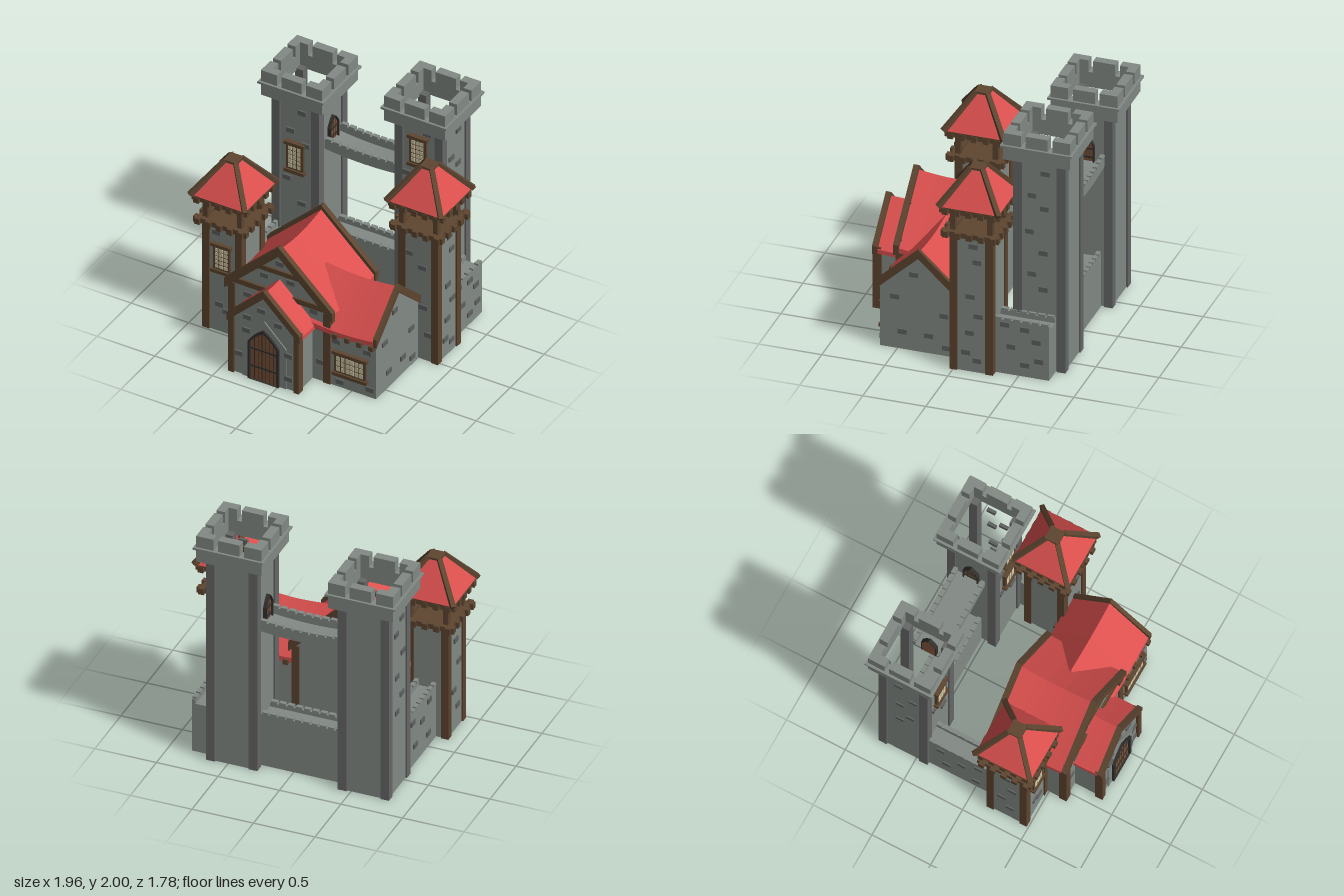
import * as THREE from 'three';

const paint = (c) => new THREE.MeshStandardMaterial({ color: c, flatShading: true });
const stone = paint(0x838a85), pillar = paint(0x666867), brick = paint(0x5f6261), red = paint(0xdb504e),
  wood = paint(0x5e4530), plank = paint(0x7d5236), iron = paint(0x33312e), glass = paint(0xd0c9a6);

function add(parent, name, geo, mat, x = 0, y = 0, z = 0) {
  const m = new THREE.Mesh(geo, mat);
  m.name = name;
  m.position.set(x, y, z);
  parent.add(m);
  return m;
}
// Box standing on y0 and reaching y1
const box = (p, name, mat, w, d, x, y0, y1, z) =>
  add(p, name, new THREE.BoxGeometry(w, y1 - y0, d), mat, x, (y0 + y1) / 2, z);

function group(parent, name, x = 0, y = 0, z = 0, turn = 0) {
  const g = new THREE.Group();
  g.name = name;
  g.position.set(x, y, z);
  g.rotation.y = turn;
  parent.add(g);
  return g;
}
const poly = (pts) => new THREE.Shape(pts.map(([x, y]) => new THREE.Vector2(x, y)));
const extrude = (shape, depth, steps = 1) =>
  new THREE.ExtrudeGeometry(shape, { depth, steps, bevelEnabled: false, curveSegments: 5 });
const square = (r) => poly([[-r, -r], [r, -r], [r, r], [-r, r]]);

// Square beam between two points
function beam(p, name, mat, a, b, t) {
  const va = new THREE.Vector3(...a), vb = new THREE.Vector3(...b);
  const m = add(p, name, new THREE.BoxGeometry(t, t, va.distanceTo(vb)), mat);
  m.position.copy(va).add(vb).multiplyScalar(0.5);
  const o = new THREE.Object3D();
  o.position.copy(m.position);
  o.lookAt(vb);
  m.quaternion.copy(o.quaternion);
}

// Raised stones on a wall facing z or x
function bricks(p, axis, plane, list) {
  for (const [u, v] of list) {
    if (axis === 'z') box(p, 'raisedStone', brick, 0.07, 0.025, u, v - 0.02, v + 0.02, plane);
    else box(p, 'raisedStone', brick, 0.025, 0.07, plane, v - 0.02, v + 0.02, u);
  }
}

function windowFrame(p, x, y, z, w, h, cols, rows) {
  const g = group(p, 'window', x, y, z);
  box(g, 'windowFrame', wood, w, 0.03, 0, -h / 2, h / 2, 0);
  for (const s of [-1, 1]) box(g, 'windowSill', wood, w + 0.03, 0.05, 0, s * h / 2 - 0.014, s * h / 2 + 0.014, 0.005);
  const pw = (w - 0.03) / cols, ph = (h - 0.05) / rows;
  for (let i = 0; i < cols; i++) for (let j = 0; j < rows; j++) {
    const py = (j - (rows - 1) / 2) * ph;
    box(g, 'pane', glass, pw - 0.008, 0.01, (i - (cols - 1) / 2) * pw, py - ph / 2 + 0.004, py + ph / 2 - 0.004, 0.013);
  }
}

// Pointed arch outline
function arch(r, spring, peak) {
  const s = new THREE.Shape(), m = (spring + peak) / 2 + 0.012;
  s.moveTo(-r, 0);
  s.lineTo(r, 0);
  s.lineTo(r, spring);
  s.quadraticCurveTo(r * 0.6, m, 0, peak);
  s.quadraticCurveTo(-r * 0.6, m, -r, spring);
  return s;
}
function door(p, x, y, z, turn, r, spring, peak, planks) {
  const g = group(p, 'door', x, y, z, turn), t = r * 0.15;
  const frame = arch(r, spring, peak);
  frame.holes.push(arch(r - t, spring, peak - t * 1.4));
  add(g, 'doorFrame', extrude(frame, 0.03), iron);
  add(g, 'doorLeaf', extrude(arch(r - t, spring, peak - t * 1.4), 0.012), plank);
  for (let i = 1; i < planks; i++) {
    const px = (i / planks * 2 - 1) * (r - t);
    box(g, 'plankGap', iron, 0.005, 0.004, px, 0, spring + (peak - spring) * (1 - Math.abs(px) / r) * 0.9, 0.012);
  }
  for (const k of [0.35, 0.82]) box(g, 'doorStrap', iron, (r - t) * 2, 0.008, 0, k * spring - 0.007, k * spring + 0.007, 0.014);
}

// Gabled slab running along z; the ridge sags in the middle
function gable(p, name, mat, r, ridge, eave, t, z0, z1, sag = 0) {
  const geo = extrude(poly([[-r, eave - t], [0, ridge - t], [r, eave - t], [r, eave], [0, ridge], [-r, eave]]), z1 - z0, sag ? 8 : 1);
  const pos = geo.attributes.position;
  for (let i = 0; i < pos.count; i++) pos.setY(i, pos.getY(i) - sag * Math.sin(Math.PI * pos.getZ(i) / (z1 - z0)));
  geo.computeVertexNormals();
  add(p, name, geo, mat, 0, 0, z0);
}
const house = (p, name, r, ridge, eave, z0, z1) =>
  add(p, name, extrude(poly([[-r, 0], [r, 0], [r, eave], [0, ridge], [-r, eave]]), z1 - z0), stone, 0, 0, z0);

// Hollow stone tower with a battlement crown
function stoneTower(p, x, z, h) {
  const g = group(p, 'stoneTower', x, 0, z), base = h - 0.225, ledge = h - 0.11;
  const shaft = new THREE.BoxGeometry(0.39, base, 0.39);
  shaft.setIndex([...shaft.index.array].filter((_, i) => i < 12 || i >= 18));
  add(g, 'towerShaft', shaft, stone, 0, base / 2, 0);
  for (const sx of [-1, 1]) for (const sz of [-1, 1])
    box(g, 'cornerPillar', pillar, 0.07, 0.07, sx * 0.173, 0, base + 0.02, sz * 0.173);
  for (const [name, r, y0, y1] of [['crown', 0.265, base, ledge], ['crownLedge', 0.285, ledge - 0.005, ledge + 0.012]]) {
    const s = square(r);
    s.holes.push(square(0.195));
    add(g, name, extrude(s, y1 - y0).rotateX(-Math.PI / 2), stone, 0, y0, 0);
  }
  for (let i = 0; i < 4; i++) {
    const side = group(g, 'merlons', 0, 0, 0, i * Math.PI / 2);
    box(side, 'merlon', stone, 0.175, 0.07, 0, ledge, h, 0.23);
    box(side, 'cornerMerlon', stone, 0.14, 0.07, -0.195, ledge, h, 0.23);
    box(side, 'cornerMerlon', stone, 0.07, 0.07, -0.23, ledge, h, 0.16);
  }
}

// Timber-framed turret with an open lookout and a hipped roof
function turret(p, x, z, deck) {
  const g = group(p, 'timberTurret', x, 0, z), top = deck + 0.2;
  box(g, 'turretShaft', stone, 0.32, 0.32, 0, 0, deck, 0);
  for (const sx of [-1, 1]) for (const sz of [-1, 1]) {
    box(g, 'cornerPost', wood, 0.06, 0.06, sx * 0.142, 0, deck, sz * 0.142);
    box(g, 'lookoutPost', wood, 0.042, 0.042, sx * 0.148, deck, top, sz * 0.148);
    beam(g, 'hipBeam', wood, [sx * 0.24, top + 0.055, sz * 0.24], [sx * 0.045, top + 0.32, sz * 0.045], 0.038);
  }
  for (const [y, r] of [[deck, 0.205], [top, 0.215]]) for (let i = 0; i < 4; i++) {
    const side = group(g, 'ringBeam', 0, y, 0, i * Math.PI / 2);
    box(side, 'beam', wood, r * 2, 0.06, 0, 0, 0.042, r - 0.03);
    for (let j = -2; j <= 2; j++) box(side, 'joistEnd', wood, 0.045, 0.04, j * 0.094, -0.004, 0.046, r + 0.005);
  }
  box(g, 'lookoutFloor', wood, 0.36, 0.36, 0, deck, deck + 0.02, 0);
  box(g, 'eaves', wood, 0.47, 0.47, 0, top + 0.042, top + 0.055, 0);
  const k = Math.SQRT2;
  add(g, 'turretRoof', new THREE.CylinderGeometry(0.05 * k, 0.235 * k, 0.27, 4).rotateY(Math.PI / 4), red, 0, top + 0.19, 0);
  box(g, 'roofCap', wood, 0.115, 0.115, 0, top + 0.31, top + 0.332, 0);
}

// Walkway with toothed parapets, running along x; its ends may rise
function rampart(p, name, x, z, turn, len, r, y0, floor, top, rise = 0) {
  const g = group(p, name, x, 0, z, turn), lift = (u) => rise * (2 * u / len) ** 2;
  const bent = (part, w, a, b, pz) => {
    const geo = new THREE.BoxGeometry(len, b - a, w, rise ? 10 : 1), pos = geo.attributes.position;
    for (let i = 0; i < pos.count; i++) pos.setY(i, pos.getY(i) + lift(pos.getX(i)));
    add(g, part, geo, stone, 0, (a + b) / 2, pz);
  };
  bent('walkway', r * 2, y0, floor, 0);
  const n = Math.round(len / 0.07), step = len / n;
  for (const s of [-1, 1]) {
    bent('parapet', 0.03, floor, top - 0.018, s * (r - 0.015));
    for (let i = 0; i < n; i++) {
      const u = (i + 0.5) * step - len / 2;
      box(g, 'parapetTooth', stone, step * 0.76, 0.034, u, top - 0.022 + lift(u), top + lift(u), s * (r - 0.015));
    }
  }
}

export function createModel() {
  const root = new THREE.Group();
  root.name = 'castle';

  // Rear stone towers with windows and bridge doors
  stoneTower(root, -0.605, -0.61, 1.85);
  stoneTower(root, 0.465, -0.61, 2.0);
  for (const [x, y] of [[-0.605, 1.11], [0.465, 1.11], [0.465, 1.55]]) windowFrame(root, x, y, -0.405, 0.145, 0.25, 3, 5);
  door(root, -0.41, 1.21, -0.61, Math.PI / 2, 0.065, 0.15, 0.24, 4);
  door(root, 0.27, 1.21, -0.61, -Math.PI / 2, 0.065, 0.15, 0.24, 4);
  bricks(root, 'z', -0.412, [[-0.55, 1.53], [-0.65, 1.34], [-0.52, 1.24], [-0.68, 0.9], [-0.55, 0.7],
    [0.54, 1.73], [0.36, 1.32], [0.37, 0.92], [0.57, 1.3], [0.53, 0.75]]);
  const towerSide = [[-0.55, 1.47], [-0.65, 1.37], [-0.53, 1.16], [-0.64, 0.99], [-0.55, 0.8], [-0.64, 0.68]];
  bricks(root, 'x', 0.658, [[-0.655, 1.67], ...towerSide]);
  bricks(root, 'x', -0.798, towerSide);

  // Bridge and curtain walls
  rampart(root, 'bridge', -0.07, -0.625, 0, 0.67, 0.13, 1.185, 1.21, 1.285, 0.02);
  rampart(root, 'backWall', -0.07, -0.625, 0, 0.67, 0.1, 0, 0.42, 0.47);
  rampart(root, 'rightWall', 0.735, -0.52, Math.PI / 2, 0.44, 0.085, 0, 0.42, 0.475);
  rampart(root, 'leftWall', -0.7, -0.13, Math.PI / 2, 0.6, 0.085, 0, 0.42, 0.475);
  bricks(root, 'x', 0.818, [[-0.39, 0.42], [-0.55, 0.4], [-0.64, 0.31], [-0.44, 0.24], [-0.55, 0.1], [-0.66, 0.15]]);
  bricks(root, 'x', -0.783, [[-0.3, 0.38], [-0.12, 0.3], [0.02, 0.4], [-0.25, 0.16], [0.0, 0.12]]);

  // Timber turrets
  turret(root, -0.718, 0.315, 0.97);
  turret(root, 0.715, -0.145, 1.15);
  windowFrame(root, -0.72, 0.68, 0.48, 0.145, 0.235, 3, 5);
  bricks(root, 'z', 0.473, [[-0.77, 0.9], [-0.66, 0.46], [-0.745, 0.25], [-0.68, 0.2]]);
  bricks(root, 'z', 0.013, [[0.63, 0.94], [0.75, 0.84], [0.755, 0.48], [0.8, 0.24]]);
  bricks(root, 'x', 0.873, [[-0.16, 1.07], [-0.19, 0.94], [-0.135, 0.64], [-0.2, 0.48], [-0.13, 0.33], [-0.19, 0.1], [-0.1, 0.16]]);
  bricks(root, 'x', -0.876, [[0.31, 0.79], [0.36, 0.58], [0.27, 0.36], [0.34, 0.2]]);

  // Main hall
  const hall = group(root, 'hall', -0.125);
  house(hall, 'hallWalls', 0.435, 1.03, 0.62, 0, 0.637);
  gable(hall, 'hallRoof', red, 0.46, 1.07, 0.635, 0.04, 0.01, 0.64, 0.03);
  gable(hall, 'frontRake', wood, 0.47, 1.105, 0.66, 0.085, 0.62, 0.665);
  gable(hall, 'backRake', wood, 0.47, 1.105, 0.66, 0.085, -0.015, 0.03);
  for (const s of [-1, 1]) for (const z of [0.02, 0.62]) box(hall, 'hallPost', wood, 0.06, 0.065, s * 0.415, 0, 0.63, z);
  box(hall, 'crossBeam', wood, 0.84, 0.04, 0, 0.64, 0.685, 0.635);
  box(hall, 'collarBeam', wood, 0.4, 0.04, 0, 0.845, 0.885, 0.635);
  bricks(root, 'z', 0.634, [[-0.125, 0.94], [-0.26, 0.79], [-0.03, 0.8], [0.17, 0.61], [0.22, 0.48], [0.23, 0.17], [-0.47, 0.31], [-0.4, 0.56]]);

  // Entrance porch
  const porch = group(root, 'porch', -0.125);
  house(porch, 'porchWalls', 0.285, 0.79, 0.51, 0.6, 0.862);
  gable(porch, 'porchRoof', red, 0.31, 0.805, 0.505, 0.035, 0.5, 0.85, 0.008);
  gable(porch, 'porchRake', wood, 0.317, 0.835, 0.53, 0.07, 0.842, 0.885);
  for (const s of [-1, 1]) box(porch, 'porchPost', wood, 0.045, 0.065, s * 0.283, 0, 0.52, 0.85);
  const surround = poly([[-0.19, 0], [0.19, 0], [0.19, 0.36], [0, 0.55], [-0.19, 0.36]]);
  surround.holes.push(arch(0.133, 0.34, 0.473));
  add(porch, 'doorSurround', extrude(surround, 0.012), stone, 0, 0, 0.86);
  door(porch, 0, 0, 0.86, 0, 0.135, 0.34, 0.475, 7);
  bricks(root, 'z', 0.864, [[-0.15, 0.64], [-0.27, 0.54], [0.0, 0.555], [-0.28, 0.42], [-0.345, 0.185], [0.085, 0.31], [0.085, 0.1]]);

  // Side wing, its ridge running along x
  const wing = group(root, 'sideWing', 0, 0, 0.33, Math.PI / 2);
  house(wing, 'wingWalls', 0.31, 0.82, 0.52, 0.1, 0.712);
  gable(wing, 'wingRoof', red, 0.328, 0.85, 0.53, 0.04, 0.09, 0.71, 0.025);
  gable(wing, 'wingRake', wood, 0.338, 0.875, 0.562, 0.075, 0.7, 0.732);
  for (const s of [-1, 1]) for (let i = 0; i < 4; i++)
    box(wing, 'rafterEnd', wood, 0.05, 0.04, s * 0.325, 0.45, 0.492, 0.37 + i * 0.105);
  windowFrame(root, 0.495, 0.225, 0.645, 0.27, 0.19, 6, 3);
  bricks(root, 'z', 0.637, [[0.4, 0.05], [0.37, 0.41], [0.66, 0.07], [0.64, 0.4]]);
  bricks(root, 'x', 0.71, [[0.37, 0.65], [0.52, 0.44], [0.13, 0.34], [0.25, 0.15], [0.46, 0.15], [0.11, 0.07]]);

  return root;
}
